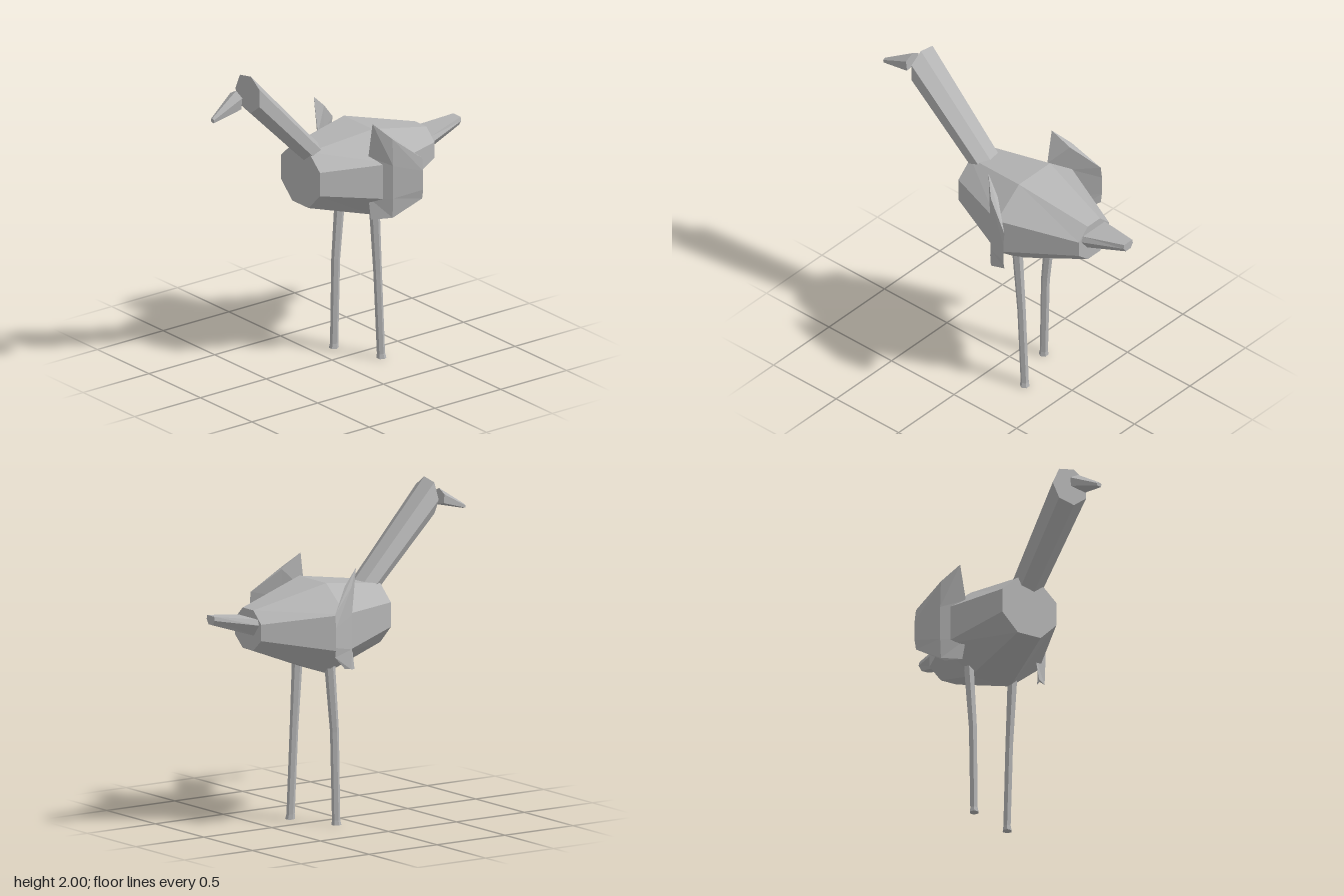
import * as THREE from 'three';

const material = new THREE.MeshStandardMaterial({ color: 0xb4b4b4, flatShading: true });
material.name = 'plain grey';

// Skins a list of equal-sized rings of [x, y, z] points, closing both ends.
function loft(name, rings) {
  const tris = [];
  const n = rings[0].length;
  for (let r = 0; r < rings.length - 1; r++) {
    const a = rings[r], b = rings[r + 1];
    for (let i = 0; i < n; i++) {
      const j = (i + 1) % n;
      tris.push([a[i], a[j], b[j]], [a[i], b[j], b[i]]);
    }
  }
  const first = rings[0], last = rings[rings.length - 1];
  for (let i = 1; i < n - 1; i++) {
    tris.push([first[0], first[i + 1], first[i]], [last[0], last[i], last[i + 1]]);
  }
  // Turn the faces outward if the enclosed volume is negative
  const o = new THREE.Vector3(...first[0]);
  let volume = 0;
  for (const t of tris) {
    const [p, q, s] = t.map((v) => new THREE.Vector3(...v).sub(o));
    volume += p.dot(q.cross(s));
  }
  if (volume < 0) tris.forEach((t) => t.reverse());
  const geometry = new THREE.BufferGeometry();
  geometry.setAttribute('position', new THREE.Float32BufferAttribute(tris.flat(2), 3));
  geometry.computeVertexNormals();
  const mesh = new THREE.Mesh(geometry, material);
  mesh.name = name;
  return mesh;
}

// Octagon across the body: half width, flat half width, and four heights
const octagon = (z, w, f, bottom, low, high, top) => [
  [f, top, z], [w, high, z], [w, low, z], [f, bottom, z],
  [-f, bottom, z], [-w, low, z], [-w, high, z], [-f, top, z],
];

// Outline [x, y] moved to a centre and scaled, at depth z
const place = (outline, cx, cy, z, s) => outline.map(([x, y]) => [cx + x * s, cy + y * s, z]);

// Hexagonal leg following centre points [x, y, z, radius]
const leg = (name, path) => loft(name, path.map(([x, y, z, r]) =>
  Array.from({ length: 6 }, (_, i) => {
    const a = (i * Math.PI) / 3;
    return [x + r * Math.cos(a), y, z + r * Math.sin(a)];
  })));

// Thin curved wing: each ring is front edge, outer bend, back edge, inner bend
function wing(name, side) {
  const rows = [
    // front x, y | bend x, y | back x, y
    [0.285, 1.585, 0.365, 1.49, 0.435, 1.35],
    [0.245, 1.36, 0.37, 1.32, 0.445, 1.27],
    [0.245, 1.1, 0.37, 1.11, 0.445, 1.15],
    [0.27, 0.965, 0.365, 0.985, 0.435, 1.09],
  ];
  return loft(name, rows.map(([fx, fy, mx, my, bx, by]) => [
    [side * fx, fy, -0.085], [side * mx, my, -0.175],
    [side * bx, by, -0.345], [side * (mx - 0.04), my, -0.195],
  ]));
}

export function createModel() {
  const model = new THREE.Group();
  model.name = 'longLeggedBird';

  model.add(loft('body', [
    octagon(0.24, 0.19, 0.08, 1.06, 1.17, 1.32, 1.42),
    octagon(-0.2, 0.34, 0.14, 0.93, 1.09, 1.32, 1.48),
    octagon(-0.675, 0.135, 0.055, 1.11, 1.18, 1.28, 1.355),
  ]));

  // Seven-sided neck, cut upright at the end
  const neckOutline = [
    [-0.115, 0], [-0.07, 0.1], [0.035, 0.12], [0.12, 0.06],
    [0.12, -0.05], [0.035, -0.115], [-0.07, -0.09],
  ];
  model.add(loft('neck', [
    place(neckOutline, 0.02, 1.88, 0.66, 1),
    place(neckOutline, 0, 1.31, 0.1, 0.8),
  ]));

  // Separate beak, drooping to a small tip
  const beakOutline = [
    [0, 0.05], [0.06, 0.02], [0.05, -0.055], [-0.05, -0.035], [-0.055, 0.02],
  ];
  model.add(loft('beak', [
    place(beakOutline, 0.028, 1.873, 0.75, 1),
    place(beakOutline, 0.052, 1.787, 0.95, 0.27),
  ]));

  const tailRing = (z, s, top, mid, bottom) => [
    [s * 0.1, top, z], [s * 0.115, mid, z], [s * 0.06, bottom, z],
    [-s * 0.06, bottom, z], [-s * 0.115, mid, z], [-s * 0.1, top, z],
  ];
  model.add(loft('tail', [
    tailRing(-0.67, 1, 1.305, 1.27, 1.2),
    tailRing(-0.95, 0.36, 1.345, 1.32, 1.29),
  ]));

  model.add(wing('leftWing', 1), wing('rightWing', -1));

  model.add(
    leg('leftLeg', [
      [0.155, 1.0, -0.2, 0.033], [0.15, 0.55, -0.23, 0.026],
      [0.15, 0.03, -0.255, 0.025], [0.152, 0, -0.257, 0.03],
    ]),
    leg('rightLeg', [
      [-0.16, 1.0, -0.19, 0.033], [-0.155, 0.57, -0.15, 0.027],
      [-0.155, 0.03, -0.138, 0.025], [-0.155, 0, -0.136, 0.03],
    ]),
  );
  return model;
}
